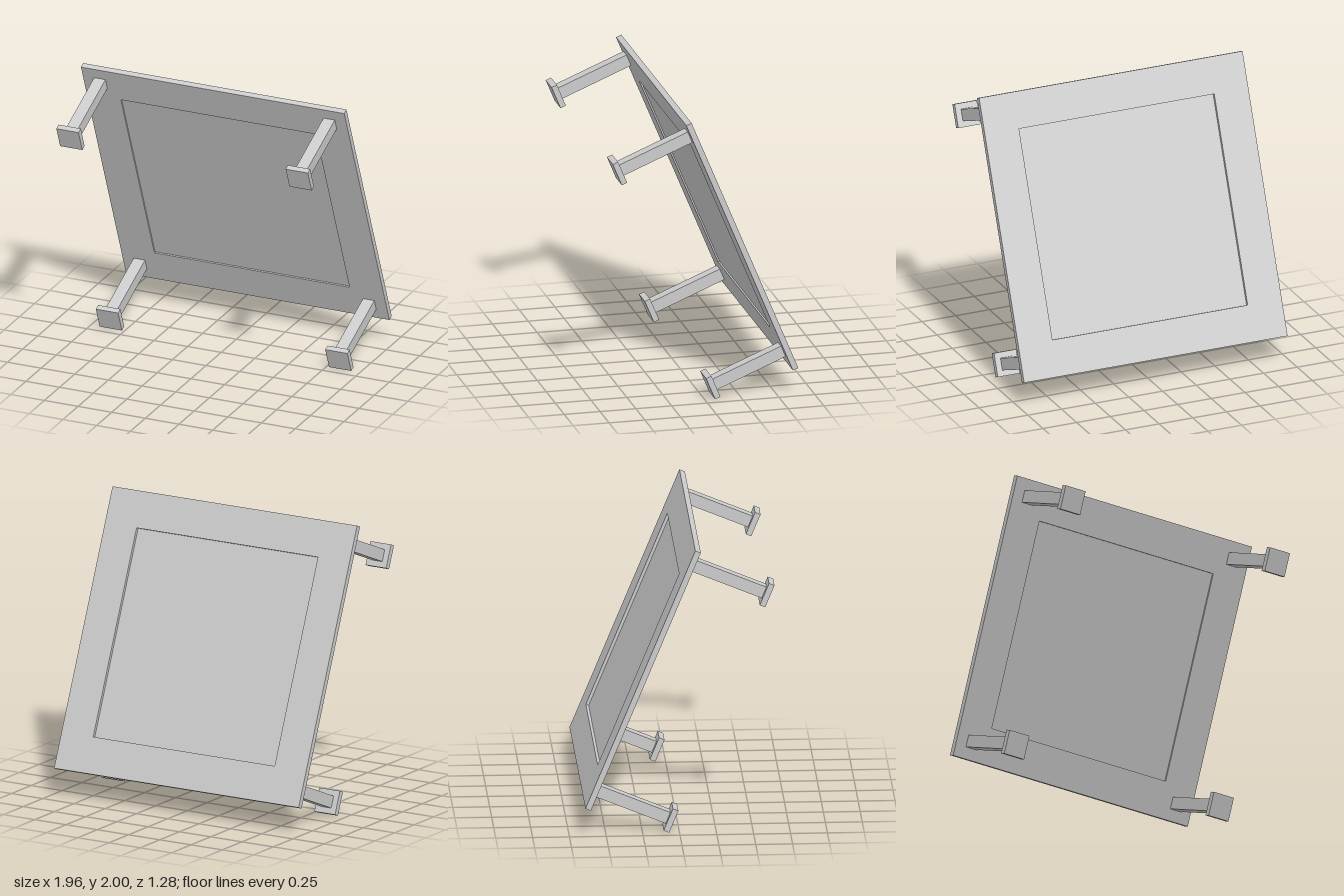
import * as THREE from 'three';

export function createModel() {
  const model = new THREE.Group();
  const table = new THREE.Group();
  table.name = 'tiltedTable';
  const material = new THREE.MeshStandardMaterial({ color: 0xcccccc, flatShading: true });

  const add = (name, geometry, x, y, z) => {
    const mesh = new THREE.Mesh(geometry, material);
    mesh.name = name;
    mesh.position.set(x, y, z);
    table.add(mesh);
  };

  // Square frame with a rectangular opening
  const rectangle = (path, h) =>
    path.moveTo(-h, -h).lineTo(h, -h).lineTo(h, h).lineTo(-h, h).closePath();
  const outline = rectangle(new THREE.Shape(), 0.978);
  outline.holes.push(rectangle(new THREE.Path(), 0.725));
  add('frame', new THREE.ExtrudeGeometry(outline, { depth: 0.04, bevelEnabled: false }), 0, 0, -0.02);

  // Thin panel recessed on both sides of the frame
  add('panel', new THREE.BoxGeometry(1.45, 1.45, 0.008), 0, 0, 0.005);

  // Four square legs, each ending in a flat foot
  const leg = new THREE.BoxGeometry(0.084, 0.084, 0.52);
  const foot = new THREE.BoxGeometry(0.165, 0.165, 0.04);
  for (const x of [-0.852, 0.852]) {
    for (const y of [-0.855, 0.855]) {
      add('leg', leg, x, y, 0.28);
      add('foot', foot, x, y, 0.56);
    }
  }

  // The whole table leans forward at the top
  table.rotation.x = 0.391;
  table.position.set(0, 1.088, -0.249);
  model.add(table);
  return model;
}
